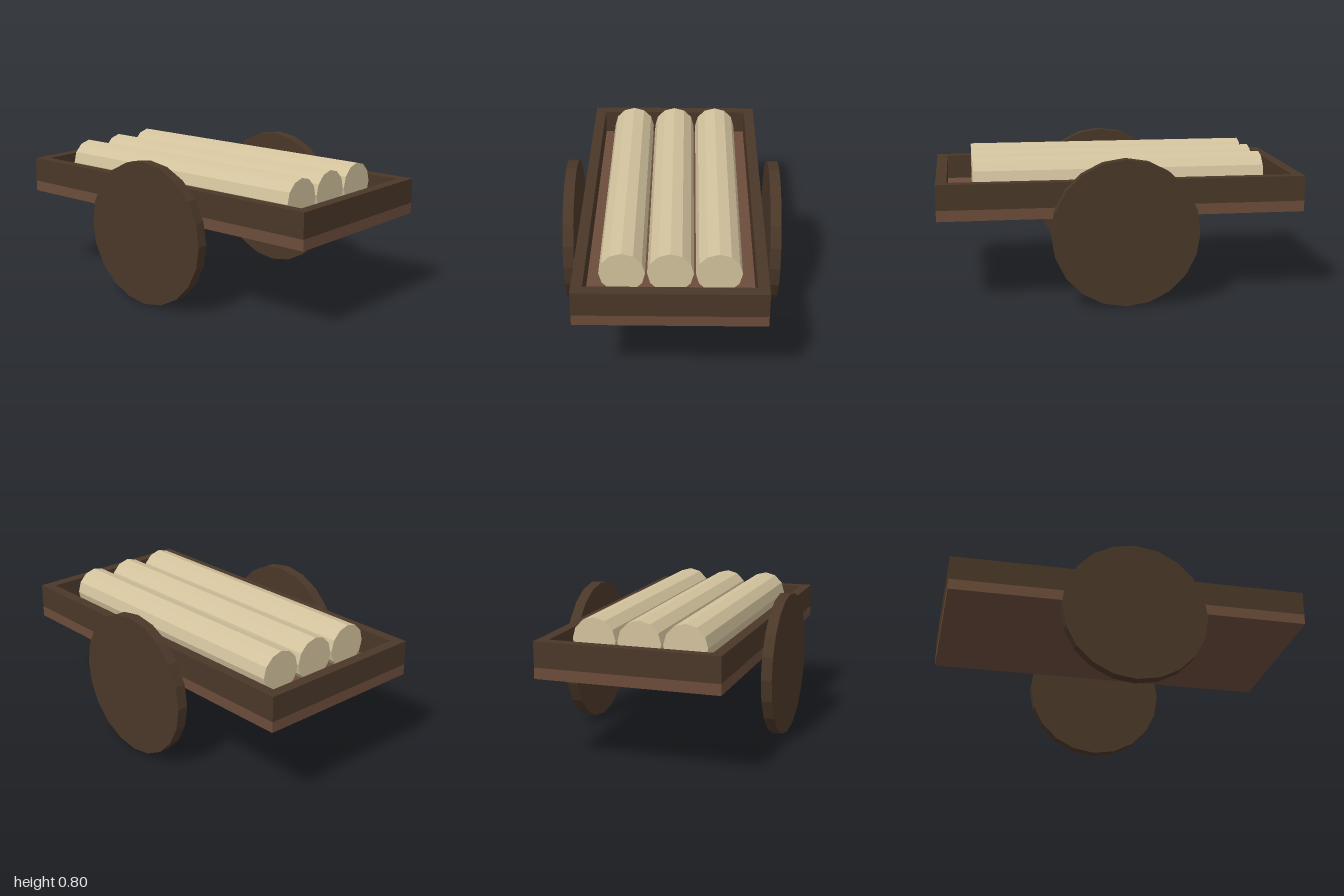
import * as THREE from 'three';

const paint = (color) => new THREE.MeshStandardMaterial({ color, flatShading: true });

export function createModel() {
  const cart = new THREE.Group();
  cart.name = 'logCart';

  const darkWood = paint(0x4a3728);
  const plankWood = paint(0x6b4c3a);
  const logWood = paint(0xd2c29d);

  const add = (name, geometry, material, x, y, z) => {
    const mesh = new THREE.Mesh(geometry, material);
    mesh.name = name;
    mesh.position.set(x, y, z);
    cart.add(mesh);
    return mesh;
  };

  // Flat bed
  const bedBottom = 0.473, bedTop = 0.533, railTop = 0.671, rail = 0.06;
  add('bed', new THREE.BoxGeometry(2, bedTop - bedBottom, 1), plankWood, 0, (bedBottom + bedTop) / 2, 0);

  // Rails around the bed, and a wheel on each long side
  const railHeight = railTop - bedTop;
  const railY = (railTop + bedTop) / 2;
  const wheelGeometry = new THREE.CylinderGeometry(0.4, 0.4, 0.06, 20).rotateX(Math.PI / 2);
  for (const [side, end, s] of [['front', 'left', 1], ['back', 'right', -1]]) {
    add(`${side}Rail`, new THREE.BoxGeometry(2, railHeight, rail), darkWood, 0, railY, s * (0.5 - rail / 2));
    add(`${end}Rail`, new THREE.BoxGeometry(rail, railHeight, 1 - 2 * rail), darkWood, s * (1 - rail / 2), railY, 0);
    add(`${side}Wheel`, wheelGeometry, darkWood, 0, 0.4, s * 0.57);
  }

  // Three logs resting on the bed
  const logRadius = 0.12;
  const logGeometry = new THREE.CylinderGeometry(logRadius, logRadius, 1.6, 12).rotateZ(Math.PI / 2);
  [-0.25, 0, 0.25].forEach((z, i) => add(`log${i + 1}`, logGeometry, logWood, 0, bedTop + logRadius - 0.001, z));

  return cart;
}
